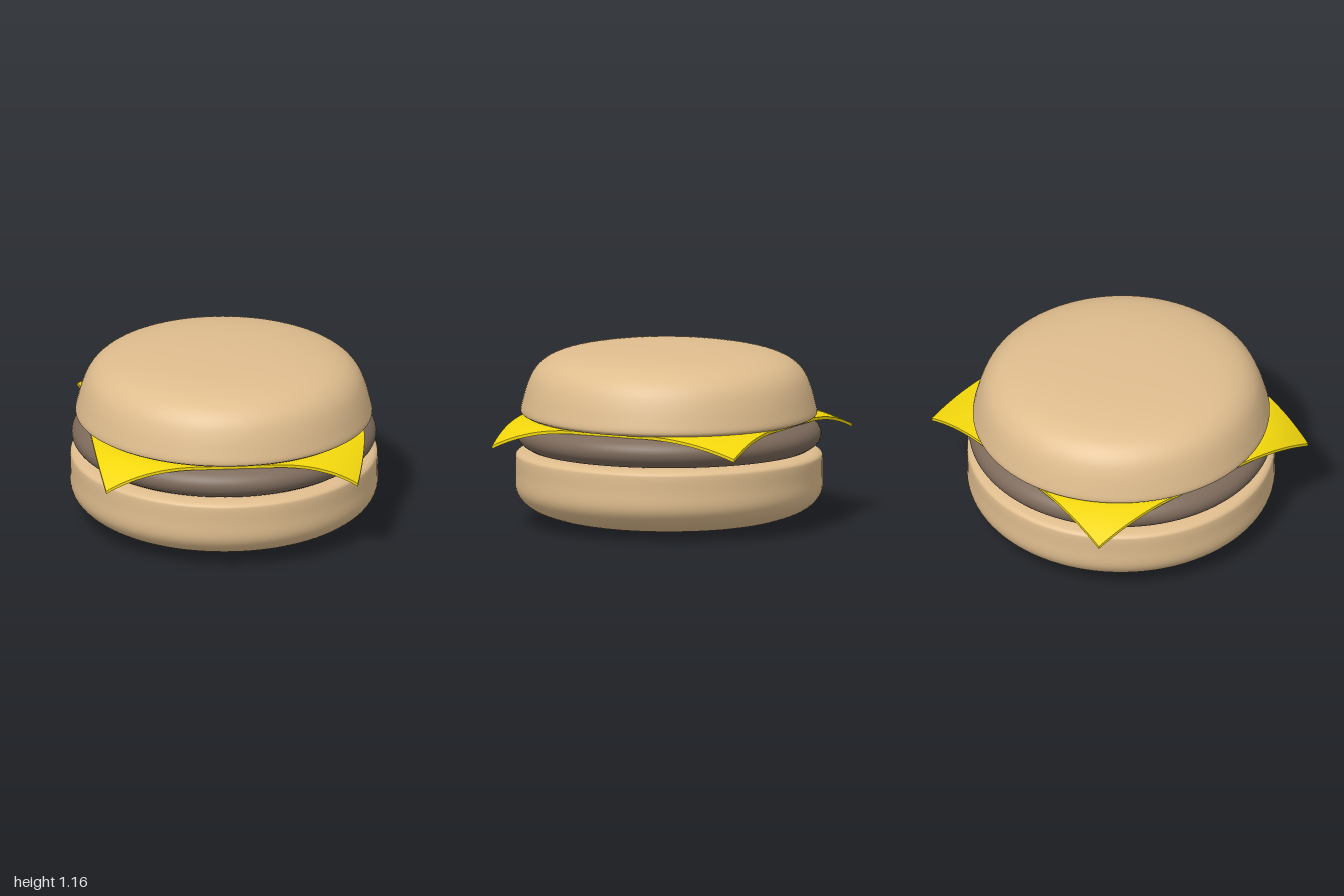
import * as THREE from 'three';

const bunColor = 0xdfbd8e, pattyColor = 0x7d6a5b, cheeseColor = 0xf2d70c;

// Smooth turned solid from [radius, height] points, listed bottom to top
function turned(name, points, color) {
  const curve = new THREE.SplineCurve(points.map(([r, y]) => new THREE.Vector2(r, y)));
  const profile = curve.getPoints(points.length * 4);
  profile.forEach(p => { p.x = Math.max(p.x, 0); });
  const mesh = new THREE.Mesh(
    new THREE.LatheGeometry(profile, 96),
    new THREE.MeshStandardMaterial({ color })
  );
  mesh.name = name;
  return mesh;
}

// Thin square slice whose corners sag and curl inward
function cheeseSlice() {
  const half = 0.888;
  const geo = new THREE.BoxGeometry(2 * half, 0.02, 2 * half, 40, 1, 40);
  const pos = geo.attributes.position;
  for (let i = 0; i < pos.count; i++) {
    const x = pos.getX(i), z = pos.getZ(i);
    const sag = Math.pow(Math.max(0, (Math.hypot(x, z) - 0.93) / 0.326), 1.5);
    const front = z > 0, right = x > 0;
    const drop = front ? 0.15 : 0.115;
    const curl = front ? (right ? 0.085 : 0.05) : (right ? 0.03 : 0);
    pos.setX(i, x - Math.sign(x) * curl * sag);
    pos.setY(i, pos.getY(i) + 0.69 - drop * sag);
  }
  geo.computeVertexNormals();
  const mesh = new THREE.Mesh(geo, new THREE.MeshStandardMaterial({ color: cheeseColor }));
  mesh.name = 'cheeseSlice';
  return mesh;
}

export function createModel() {
  const model = new THREE.Group();
  model.name = 'cheeseburger';

  // Bottom bun with a rounded underside
  model.add(turned('bottomBun', [
    [0, 0], [0.3, 0.006], [0.55, 0.02], [0.72, 0.043], [0.84, 0.078], [0.92, 0.12],
    [0.975, 0.175], [1, 0.24], [1, 0.34], [1, 0.43], [0.99, 0.46], [0.95, 0.476],
    [0.85, 0.483], [0.4, 0.485], [0, 0.485]
  ], bunColor));

  // Patty with a bulging rim
  model.add(turned('patty', [
    [0, 0.485], [0.5, 0.485], [0.86, 0.487], [0.93, 0.503], [0.975, 0.54], [0.99, 0.585],
    [0.975, 0.63], [0.93, 0.667], [0.86, 0.682], [0.5, 0.684], [0, 0.684]
  ], pattyColor));

  model.add(cheeseSlice());

  // Domed top bun, resting at a slight tilt
  const topBun = turned('topBun', [
    [0, -0.23], [0.5, -0.23], [0.88, -0.229], [0.945, -0.217], [0.965, -0.195], [0.952, -0.13],
    [0.925, -0.035], [0.89, 0.045], [0.84, 0.105], [0.77, 0.15], [0.66, 0.185], [0.48, 0.214],
    [0.25, 0.23], [0, 0.235]
  ], bunColor);
  topBun.position.y = 0.93;
  topBun.rotation.set(-0.01, 0, -0.006);
  model.add(topBun);

  return model;
}
